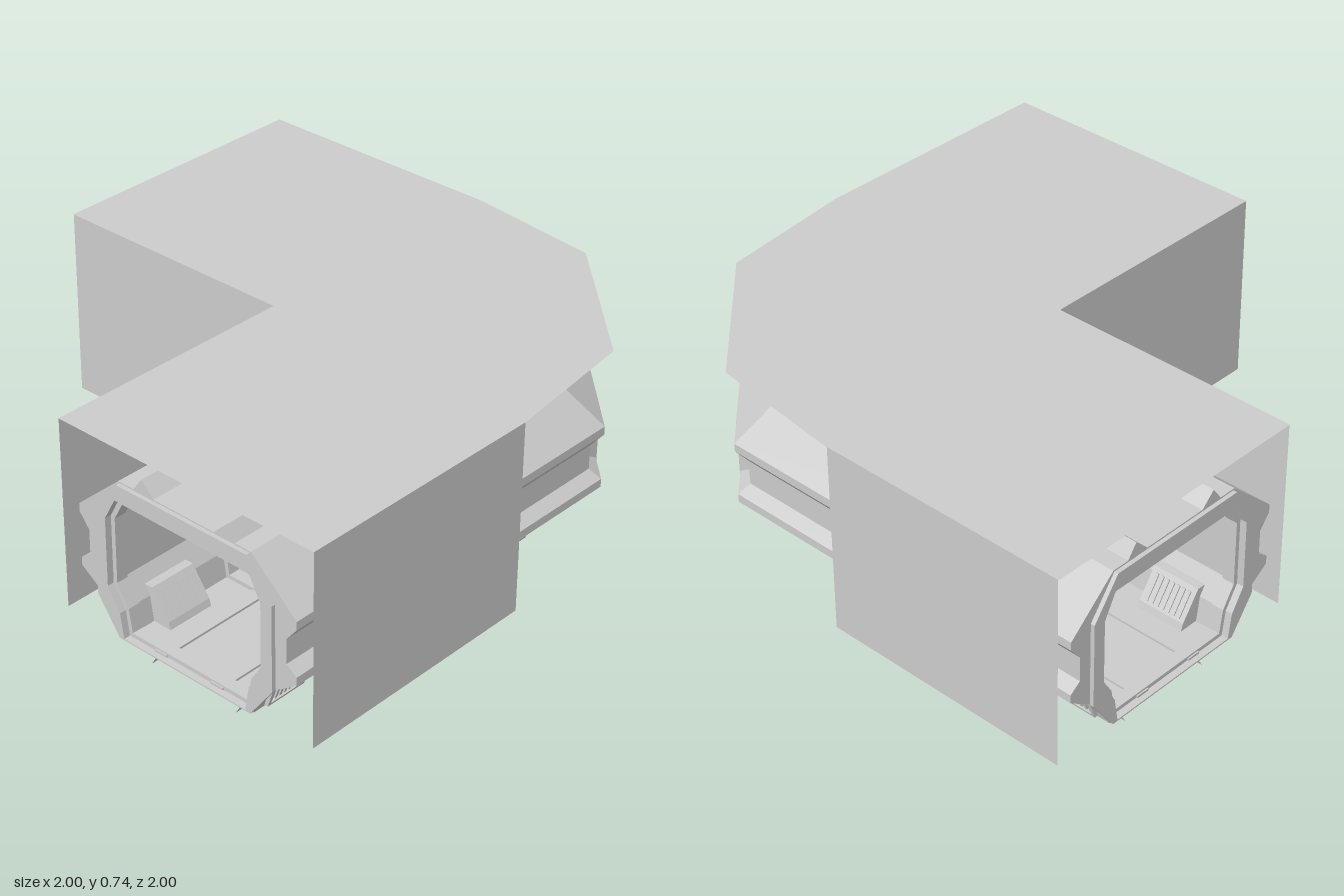
import * as THREE from 'three';

const C = 0.475; // distance of each leg's centre line from the axes
const grey = new THREE.MeshStandardMaterial({ color: 0xcccccc, flatShading: true });
const sheet = new THREE.MeshStandardMaterial({ color: 0xcccccc, flatShading: true, side: THREE.DoubleSide });

// Stations map a sideways offset d (+ = outside of the bend) to a plan position [x, z]
const legA = s => d => [C + d, s];
const legB = s => d => [-s, -(C + d)];
const bendZ = d => Math.max(-0.28 - 0.414 * d, -(C + d));
const bendA = d => [C + d, bendZ(d)];
const bendB = d => [-bendZ(d), -(C + d)];
const chamfer = t => d => {
  const c = (0.757 + Math.SQRT2 * d) / 2;
  return [c - t * Math.SQRT1_2, -c - t * Math.SQRT1_2];
};
// The same stretch on both legs, always running from leg A towards leg B
const bothLegs = (s0, s1) => [[legA(s1), legA(s0)], [legB(s0), legB(s1)]];

const oriented = (pts, ccw) => {
  const v = pts.map(p => new THREE.Vector2(p[0], p[1]));
  return (THREE.ShapeUtils.area(v) > 0) === ccw ? v : v.reverse();
};
const mirrored = half => [...half, ...half.slice().reverse().map(([d, y]) => [-d, y])];
const scaled = (pts, k) => pts.map(([d, y]) => [d * k, 0.34 + (y - 0.34) * k]);

// Sweeps a cross-section, optionally hollow, through a list of stations
function sweep(name, profile, stations, { hole = null, caps = true } = {}) {
  const rings = [oriented(profile, true)];
  if (hole) rings.push(oriented(hole, false));
  const pos = [];
  const at = (st, p) => { const [x, z] = st(p.x); return [x, p.y, z]; };
  for (const ring of rings)
    for (let i = 0; i + 1 < stations.length; i++)
      ring.forEach((p, j) => {
        const q = ring[(j + 1) % ring.length];
        const a = at(stations[i], p), b = at(stations[i + 1], p);
        const c = at(stations[i + 1], q), d = at(stations[i], q);
        pos.push(...a, ...b, ...c, ...a, ...c, ...d);
      });
  if (caps) {
    const all = rings.flat();
    const first = stations[0], last = stations[stations.length - 1];
    for (const [i, j, k] of THREE.ShapeUtils.triangulateShape(rings[0], rings.slice(1))) {
      pos.push(...at(first, all[i]), ...at(first, all[j]), ...at(first, all[k]));
      pos.push(...at(last, all[i]), ...at(last, all[k]), ...at(last, all[j]));
    }
  }
  const geo = new THREE.BufferGeometry();
  geo.setAttribute('position', new THREE.Float32BufferAttribute(pos, 3));
  geo.computeVertexNormals();
  const mesh = new THREE.Mesh(geo, grey);
  mesh.name = name;
  return mesh;
}

// Cross-sections as [offset, height]
const outer = mirrored([
  [0.28, 0.04], [0.31, 0.13], [0.455, 0.23], [0.455, 0.26], [0.415, 0.29], [0.415, 0.38],
  [0.455, 0.43], [0.455, 0.46], [0.275, 0.62], [0.21, 0.62], [0.175, 0.668], [0.125, 0.62]]);
const inner = mirrored([[0.26, 0.05], [0.275, 0.14], [0.325, 0.22], [0.325, 0.47], [0.28, 0.555]]);
const collar = mirrored([
  [0.29, 0.03], [0.32, 0.12], [0.47, 0.22], [0.47, 0.27], [0.43, 0.3], [0.43, 0.38],
  [0.47, 0.42], [0.47, 0.47], [0.285, 0.635]]);
const frame = mirrored([[0.28, 0.045], [0.37, 0.17], [0.37, 0.48], [0.27, 0.615]]);

function enclosure() {
  const g = new THREE.Group();
  g.name = 'enclosure';
  const plan = [[-1, -1], [-0.04, -1], [0.47, -0.94], [0.935, -0.48], [1, 0.04],
    [1, 0.99], [-0.05, 0.99], [-0.05, 0.04], [-1, 0.04]];
  const shape = new THREE.Shape(plan.map(([x, z]) => new THREE.Vector2(x, -z)));
  const roof = new THREE.Mesh(new THREE.ShapeGeometry(shape).rotateX(-Math.PI / 2), sheet);
  roof.position.y = 0.738;
  roof.name = 'roofSheet';
  g.add(roof);
  const wall = (name, x, z, turn) => {
    const m = new THREE.Mesh(new THREE.PlaneGeometry(0.945, 0.698), sheet);
    m.position.set(x, 0.389, z);
    m.rotation.y = turn;
    m.name = name;
    g.add(m);
  };
  wall('innerWallSide', -0.525, 0.04, 0);
  wall('outerWallBack', -0.525, -1, Math.PI);
  wall('innerWallFront', -0.05, 0.517, -Math.PI / 2);
  wall('outerWallSide', 1, 0.517, Math.PI / 2);
  return g;
}

// Louvred vent on a lower outside slope
function vent(side, s) {
  const g = new THREE.Group();
  g.name = 'vent';
  const strip = (y0, y1, out) => {
    const d = y => 0.28 + (y - 0.04) / 3;
    return [[d(y0) - 0.005, y0], [d(y0) + out, y0], [d(y1) + out, y1], [d(y1) - 0.005, y1]]
      .map(([x, y]) => [side * x, y]);
  };
  const add = (name, prof, s0, s1) =>
    bothLegs(s0, s1).forEach(st => g.add(sweep(name, prof, st)));
  for (const y of [0.045, 0.12]) add('ventRail', strip(y, y + 0.009, 0.014), s - 0.08, s + 0.08);
  for (const e of [-0.075, 0.075]) add('ventPost', strip(0.054, 0.12, 0.014), s + e - 0.006, s + e + 0.006);
  for (let i = -3; i <= 3; i++)
    add('ventSlat', strip(0.054, 0.12, 0.007), s + i * 0.02 - 0.005, s + i * 0.02 + 0.005);
  return g;
}

// Wedge-shaped vent box standing on the floor inside
function floorVent(s) {
  const g = new THREE.Group();
  g.name = 'floorVent';
  const body = [[-0.27, 0.045], [-0.185, 0.045], [-0.195, 0.075], [-0.265, 0.175], [-0.3, 0.175]];
  for (const st of bothLegs(s - 0.09, s + 0.09)) g.add(sweep('ventBox', body, st));
  const slat = [[-0.205, 0.08], [-0.197, 0.085], [-0.25, 0.163], [-0.258, 0.158]];
  for (let i = -3; i <= 3; i++)
    for (const st of bothLegs(s + i * 0.022 - 0.006, s + i * 0.022 + 0.006))
      g.add(sweep('ventSlat', slat, st));
  return g;
}

// Handrail with returned ends and a pole, on the outside wall of each leg
function handrails() {
  const g = new THREE.Group();
  g.name = 'handrails';
  const tube = (name, pts, r, leg) => {
    const v = pts.map(([d, y, s]) => { const [x, z] = leg(s)(d); return new THREE.Vector3(x, y, z); });
    const m = new THREE.Mesh(new THREE.TubeGeometry(new THREE.CatmullRomCurve3(v, false, 'catmullrom', 0.1), 32, r, 8), grey);
    m.name = name;
    g.add(m);
  };
  for (const leg of [legA, legB]) {
    tube('handrail', [[0.325, 0.22, -0.4], [0.285, 0.225, -0.4], [0.28, 0.245, -0.37],
      [0.28, 0.245, 0.85], [0.325, 0.23, 0.88]], 0.009, leg);
    tube('pole', [[0.27, 0.19, -0.21], [0.27, 0.555, -0.21]], 0.009, leg);
    for (const s of [-0.21, 0.2, 0.6]) tube('bracket', [[0.27, 0.245, s], [0.33, 0.245, s]], 0.008, leg);
  }
  return g;
}

export function createModel() {
  const model = new THREE.Group();
  model.name = 'corridorCorner';
  model.add(enclosure());

  // Hollow corridor bending through two 45-degree mitres
  model.add(sweep('corridor', outer, [legA(0.985), bendA, bendB, legB(0.985)], { hole: inner }));

  // End frames, outside collars and inside ribs
  for (const st of bothLegs(0.985, 1)) model.add(sweep('endFrame', frame, st, { hole: inner }));
  for (const st of bothLegs(0.03, 0.09)) model.add(sweep('collar', collar, st, { hole: scaled(outer.filter(p => p[1] < 0.65), 0.99) }));
  for (const s of [0.04, 0.5, 0.93])
    for (const st of bothLegs(s, s + 0.045))
      model.add(sweep('insideRib', scaled(inner, 1.01), st, { hole: scaled(inner, 0.95) }));

  // Panel filling the side groove on the diagonal face
  const panel = [[0.4, 0.235], [0.456, 0.235], [0.456, 0.455], [0.4, 0.455]];
  model.add(sweep('cornerPanel', panel, [
    d => chamfer(d > 0.43 ? -0.195 : -0.24)(d), d => chamfer(d > 0.43 ? 0.195 : 0.24)(d)]));

  // Skid rails under the straight legs
  for (const c of [-0.18, 0.18]) {
    const rail = [[c - 0.05, 0.041], [c - 0.025, 0], [c + 0.025, 0], [c + 0.05, 0.041]];
    for (const st of bothLegs(0.06, 0.985)) model.add(sweep('skidRail', rail, st, { caps: false }));
  }

  // Raised strips along the ceiling and floor inside
  for (const d of [-0.12, 0.12])
    for (const [y0, y1] of [[0.045, 0.058], [0.535, 0.56]])
      model.add(sweep('trimStrip', [[d - 0.025, y0], [d + 0.025, y0], [d + 0.025, y1], [d - 0.025, y1]],
        [legA(0.98), bendA, bendB, legB(0.98)]));

  model.add(vent(1, -0.21));
  for (const s of [0.48, 0.86]) model.add(vent(1, s), vent(-1, s), floorVent(s - 0.08));
  model.add(handrails());
  return model;
}
